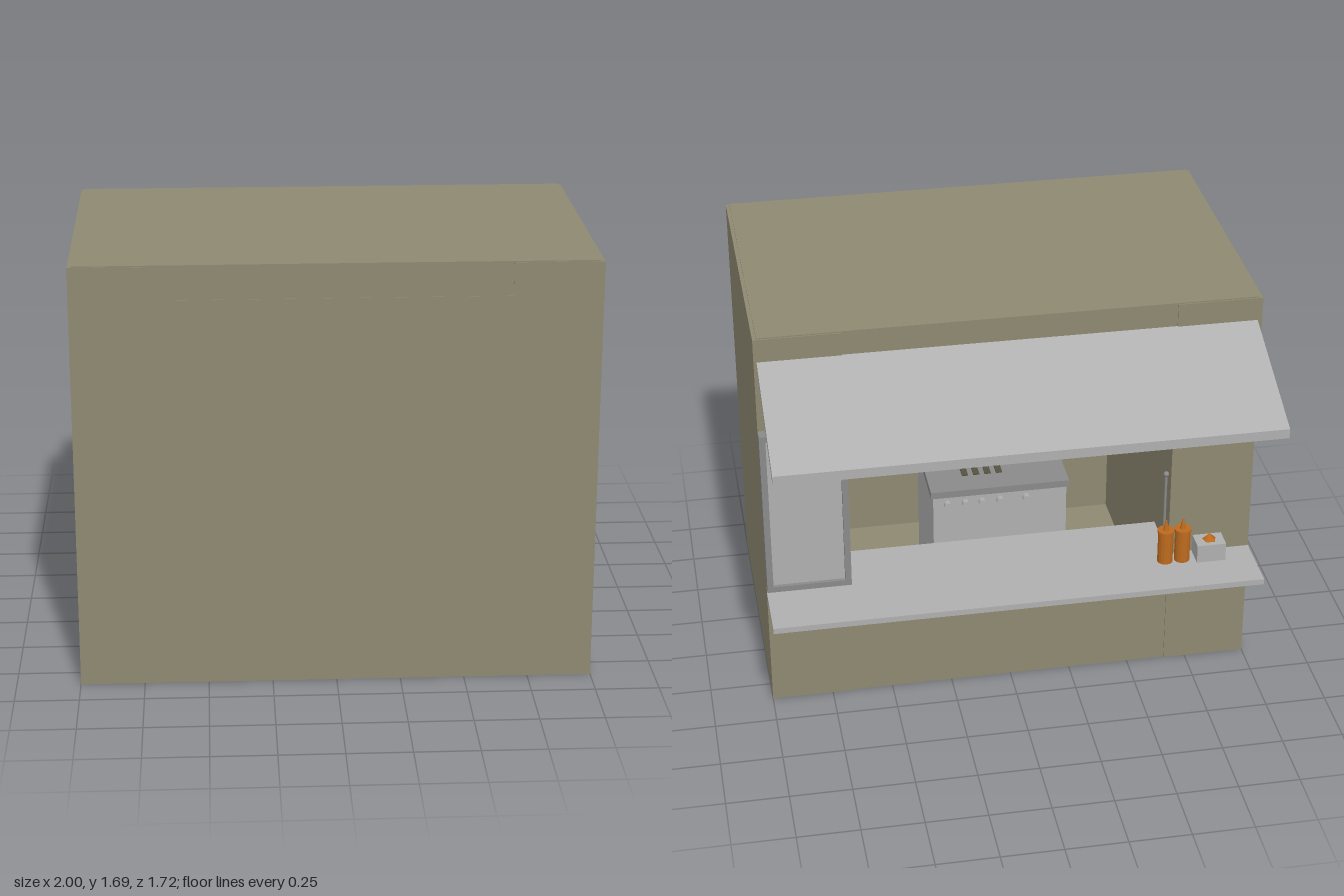
import * as THREE from 'three';

export function createModel() {
  const model = new THREE.Group();
  const mat = (name, color) => {
    const m = new THREE.MeshStandardMaterial({ color });
    m.name = name;
    return m;
  };
  const olive = mat('olive wall', 0x8e8971);
  const light = mat('light grey', 0xafafaf);
  const mid = mat('mid grey', 0x8a8a8a);
  const orange = mat('orange', 0xbd6a1e);
  const dark = mat('dark olive', 0x55523f);

  const add = (name, geo, m, x = 0, y = 0, z = 0, parent = model) => {
    const mesh = new THREE.Mesh(geo, m);
    mesh.name = name;
    mesh.position.set(x, y, z);
    parent.add(mesh);
    return mesh;
  };
  // Box given by its minimum and maximum on each axis
  const box = (name, m, x0, x1, y0, y1, z0, z1, parent = model) =>
    add(name, new THREE.BoxGeometry(x1 - x0, y1 - y0, z1 - z0), m,
      (x0 + x1) / 2, (y0 + y1) / 2, (z0 + z1) / 2, parent);

  // Kiosk shell: thick sides, roof, floor and walls round a serving opening at the back
  const W = 0.66;
  box('rightSide', olive, -1, -W, 0, 1.685, -0.353, 0.86);
  box('leftSide', olive, W, 1, 0, 1.685, -0.353, 0.86);
  box('roof', olive, -0.985, 0.985, 1.556, 1.69, -0.348, 0.858);
  box('floor', olive, -W, W, 0, 0.05, -0.348, 0.86);
  box('frontWall', olive, -W, W, 0.05, 1.556, 0.8, 0.86);
  box('servingWall', olive, -W, W, 0.05, 0.505, -0.348, -0.28);

  // Serving counter, outer shelf and the part inside the opening
  box('counterShelf', light, -1, 1, 0.505, 0.53, -0.61, -0.353);
  box('counterInside', light, -W, W, 0.505, 0.53, -0.353, -0.11);

  // Sloping awning and its single strut; profile is drawn in (-z, y)
  const slab = (points, width) => {
    const shape = new THREE.Shape(points.map(p => new THREE.Vector2(...p)));
    const geo = new THREE.ExtrudeGeometry(shape, { depth: width, bevelEnabled: false });
    geo.translate(0, 0, -width / 2);
    return geo.rotateY(Math.PI / 2);
  };
  add('awning', slab([[0.35, 1.55], [0.86, 1.345], [0.86, 1.385], [0.35, 1.59]], 1.97), light, 0.003);
  add('awningStrut', slab([[0.35, 1.38], [0.775, 1.38], [0.68, 1.42], [0.35, 1.42]], 0.05), light, -0.77);

  // Menu board on the left pillar
  const board = new THREE.Group();
  board.name = 'menuBoard';
  model.add(board);
  box('boardPanel', light, 0.67, 0.99, 0.57, 1.275, -0.385, -0.353, board);
  for (const [x0, x1] of [[0.66, 0.685], [0.975, 1]])
    box('boardFrameSide', mid, x0, x1, 0.56, 1.285, -0.4, -0.353, board);
  for (const y of [0.56, 1.26])
    box('boardFrameRail', mid, 0.685, 0.975, y, y + 0.025, -0.4, -0.353, board);
  // Painted food patch
  const patch = new THREE.Shape();
  patch.moveTo(-0.95, 1.24);
  patch.splineThru([[-0.87, 1.255], [-0.77, 1.25], [-0.7, 1.2], [-0.69, 1.13], [-0.75, 1.08],
    [-0.8, 1.12], [-0.83, 1.16], [-0.86, 1.11], [-0.92, 1.13], [-0.95, 1.24]]
    .map(p => new THREE.Vector2(...p)));
  const patchGeo = new THREE.ExtrudeGeometry(patch, { depth: 0.004, bevelEnabled: false });
  add('boardPicture', patchGeo.rotateY(Math.PI), orange, 0, 0, -0.385, board);

  // Grill with lid slab, slots and knobs
  const grill = new THREE.Group();
  grill.name = 'grill';
  model.add(grill);
  box('grillBody', light, -0.28, 0.28, 0.05, 0.745, -0.1, 0.34, grill);
  box('grillTop', mid, -0.29, 0.29, 0.745, 0.775, -0.11, 0.35, grill);
  for (let i = 0; i < 4; i++) {
    const x = 0.13 - i * 0.048;
    box('grillSlot', dark, x - 0.013, x + 0.013, 0.774, 0.779, 0, 0.15, grill);
  }
  for (const x of [0.22, 0.145, 0.075, 0.0, -0.11]) {
    const knobGeo = new THREE.CylinderGeometry(0.016, 0.016, 0.025, 12).rotateX(Math.PI / 2);
    add('grillKnob', knobGeo, light, x, 0.71, -0.112, grill);
  }

  // Hanging utensil by the right pillar
  add('utensilRod', new THREE.CylinderGeometry(0.006, 0.006, 0.3, 8), mid, -0.645, 0.75, -0.33);
  add('utensilKnob', new THREE.SphereGeometry(0.012, 10, 8), mid, -0.645, 0.9, -0.33);

  // Sauce bottles
  const profile = [[0, 0], [0.032, 0], [0.032, 0.14], [0.035, 0.14], [0.035, 0.15],
    [0.012, 0.15], [0.003, 0.195], [0, 0.195]].map(p => new THREE.Vector2(...p));
  for (const x of [-0.634, -0.705]) {
    const geo = new THREE.LatheGeometry(profile, 16).toNonIndexed();
    geo.computeVertexNormals();
    add('sauceBottle', geo, orange, x, 0.53, -0.405);
  }

  // Napkin box with a napkin sticking out
  box('napkinBox', light, -0.88, -0.76, 0.53, 0.61, -0.445, -0.358);
  const napkin = new THREE.ConeGeometry(0.03, 0.03, 5);
  add('napkin', napkin, orange, -0.82, 0.625, -0.4);

  return model;
}
